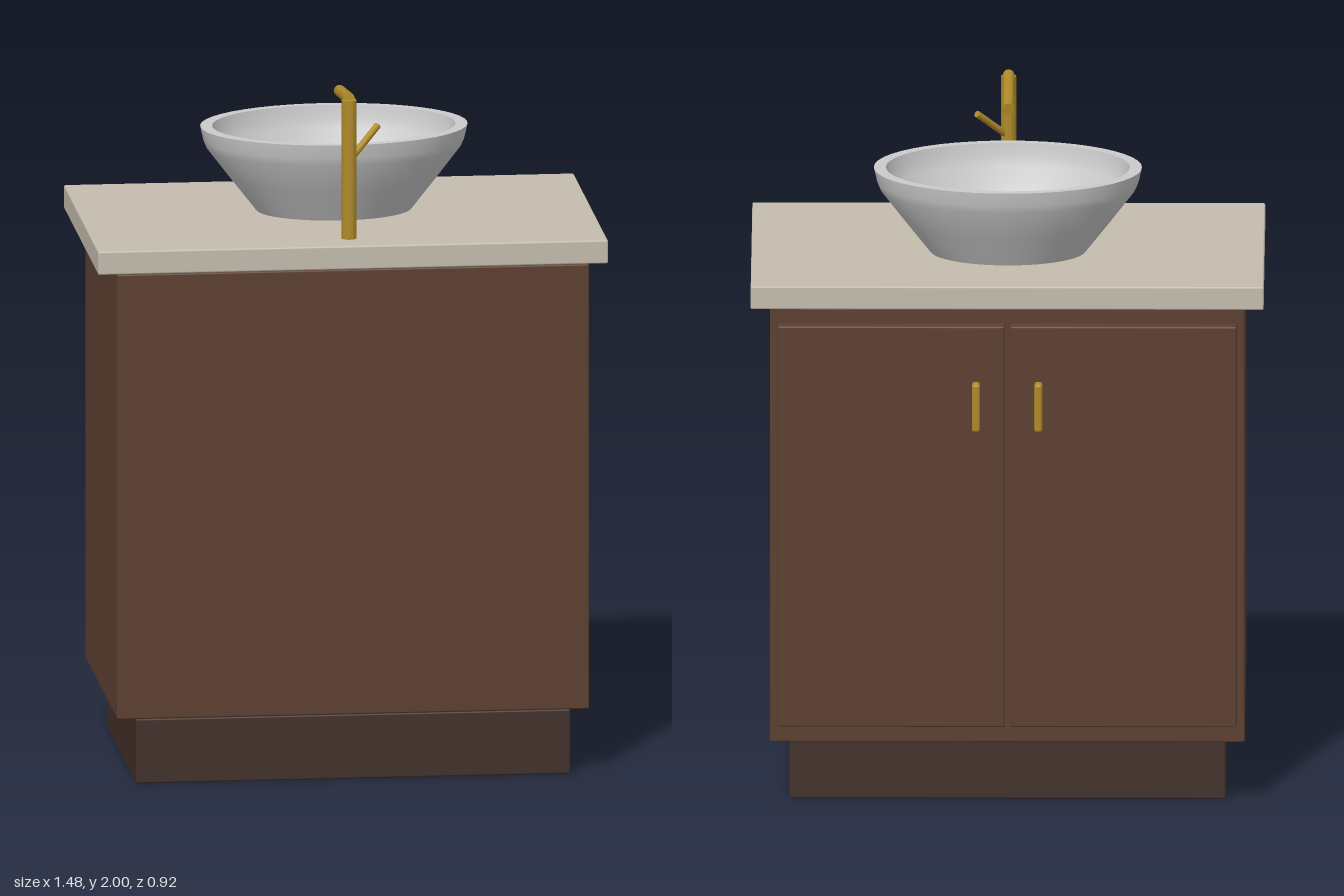
import * as THREE from 'three';
import { toCreasedNormals } from 'three/addons/utils/BufferGeometryUtils.js';
import { RoundedBoxGeometry } from 'three/addons/geometries/RoundedBoxGeometry.js';

const paint = (color) => new THREE.MeshStandardMaterial({ color });

export function createModel() {
  const model = new THREE.Group();
  const wood = paint(0x5c4030), darkWood = paint(0x423029);
  const stone = paint(0xc4bcae), ceramic = paint(0xcccccc), brass = paint(0xb08a28);

  const add = (name, geometry, material, parent = model) => {
    const mesh = new THREE.Mesh(geometry, material);
    mesh.name = name;
    parent.add(mesh);
    return mesh;
  };

  // Softly edged box given by its min and max corners
  const box = (name, min, max, material, radius = 0.005) => {
    const a = new THREE.Vector3(...min), b = new THREE.Vector3(...max);
    const size = b.clone().sub(a);
    const mesh = add(name, new RoundedBoxGeometry(size.x, size.y, size.z, 2, radius), material);
    mesh.position.copy(a).add(b).multiplyScalar(0.5);
    return mesh;
  };

  // Round bar between two points
  const bar = (name, from, to, radius, parent) => {
    const a = new THREE.Vector3(...from), b = new THREE.Vector3(...to);
    const dir = b.clone().sub(a);
    const mesh = add(name, toCreasedNormals(
      new THREE.CylinderGeometry(radius, radius, dir.length(), 20), 0.6), brass, parent);
    mesh.position.copy(a).add(b).multiplyScalar(0.5);
    mesh.quaternion.setFromUnitVectors(new THREE.Vector3(0, 1, 0), dir.normalize());
  };

  // Cabinet
  box('toeKick', [-0.63, 0, -0.31], [0.63, 0.19, 0.46], darkWood);
  box('cabinet', [-0.685, 0.19, -0.387], [0.685, 1.503, 0.462], wood);
  box('countertop', [-0.74, 1.503, -0.46], [0.74, 1.572, 0.462], stone);

  // Pair of doors with pulls, on the -z side
  for (const [side, s] of [['left', 1], ['right', -1]]) {
    const span = (inner, outer) => (s > 0 ? [inner, outer] : [-outer, -inner]);
    const [d0, d1] = span(0.008, 0.662);
    box(side + 'Door', [d0, 0.245, -0.425], [d1, 1.443, -0.385], wood);
    const [h0, h1] = span(0.078, 0.102);
    box(side + 'Handle', [h0, 1.135, -0.462], [h1, 1.28, -0.423], brass, 0.009);
  }

  // Oval vessel basin: outside wall, rim, inside wall, floor
  const profile = [
    [0, 1.572], [0.225, 1.572], [0.3, 1.668], [0.368, 1.757], [0.378, 1.78], [0.387, 1.82],
    [0.352, 1.82], [0.345, 1.785], [0.333, 1.757], [0.27, 1.67], [0.205, 1.585], [0, 1.585],
  ].map(([r, y]) => new THREE.Vector2(r, y));
  const basinShape = new THREE.LatheGeometry(profile, 48);
  basinShape.scale(1, 1, 0.75);
  const basin = add('basin', toCreasedNormals(basinShape, 0.6), ceramic);
  basin.position.z = -0.058;

  // Faucet
  const faucet = new THREE.Group();
  faucet.name = 'faucet';
  model.add(faucet);
  bar('faucetPost', [0, 1.572, 0.353], [0, 1.98, 0.353], 0.022, faucet);
  bar('faucetSpout', [0, 1.984, 0.35], [0, 1.952, 0.096], 0.017, faucet);
  bar('faucetLever', [0, 1.8, 0.353], [0.091, 1.887, 0.278], 0.01, faucet);

  return model;
}
